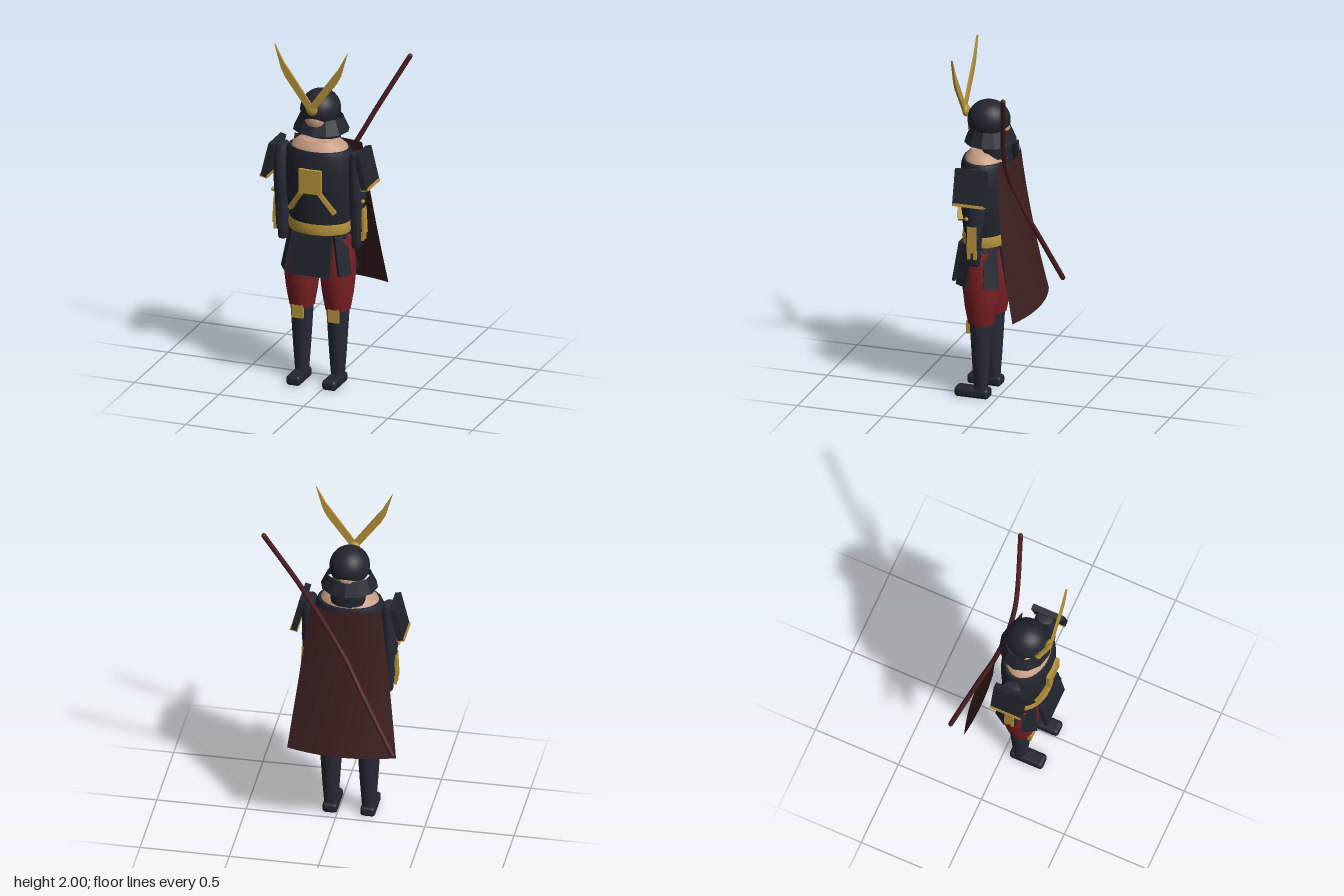
import * as THREE from 'three';
import { toCreasedNormals } from 'three/addons/utils/BufferGeometryUtils.js';
import { RoundedBoxGeometry } from 'three/addons/geometries/RoundedBoxGeometry.js';

const mat = (name, color, side = THREE.FrontSide) =>
  Object.assign(new THREE.MeshStandardMaterial({ color, side }), { name });

export function createModel() {
  const armour = mat('armour black', 0x22252e, THREE.DoubleSide);
  const cloth = mat('navy cloth', 0x272a37);
  const gold = mat('gold', 0xb8933a);
  const skin = mat('skin', 0xc79c82);
  const red = mat('red trousers', 0x7a2024);
  const capeRed = mat('cape maroon', 0x3d1f20, THREE.DoubleSide);
  const wood = mat('bow wood', 0x4c1f22);

  const model = new THREE.Group();
  const body = new THREE.Group();
  body.name = 'warrior';
  body.position.set(-0.065, 0, 0.09);
  model.add(body);

  const add = (parent, name, geo, material, x = 0, y = 0, z = 0) => {
    const m = new THREE.Mesh(geo, material);
    m.name = name;
    m.position.set(x, y, z);
    parent.add(m);
    return m;
  };
  const box = (w, h, d) => new THREE.BoxGeometry(w, h, d);
  // Lathe of [radius, height] pairs, listed bottom to top, squashed in z
  const turned = (points, depth = 1, sides = 28) => {
    const g = new THREE.LatheGeometry(points.map(p => new THREE.Vector2(...p)), sides);
    g.scale(1, 1, depth);
    return toCreasedNormals(g, 0.7);
  };

  // Torso, belt and bare shoulders
  add(body, 'torso', turned([[0, 0.88], [0.165, 0.88], [0.172, 0.95], [0.19, 1.08], [0.197, 1.25],
    [0.19, 1.36], [0.178, 1.385], [0, 1.385]], 0.72), armour);
  add(body, 'belt', turned([[0.16, 0.9], [0.176, 0.9], [0.182, 0.93], [0.176, 0.962], [0.16, 0.962]], 0.73), gold);
  add(body, 'shoulders', turned([[0.165, 1.38], [0.155, 1.4], [0.115, 1.43], [0, 1.432]], 0.72), skin);
  add(body, 'neckGuard', turned([[0.098, 1.4], [0.098, 1.52], [0, 1.52]], 0.8), armour, 0, 0, -0.055);

  // Chest ornament with two hanging cords
  add(body, 'chestPlate', box(0.132, 0.14, 0.02), gold, 0, 1.22, 0.146);
  for (const s of [-1, 1]) {
    const cord = add(body, 'chestCord', box(0.024, 0.14, 0.03), gold, s * 0.092, 1.095, 0.125);
    cord.rotation.set(0, s * 0.35, s * 0.62);
  }

  // Head and helmet
  const head = add(body, 'head', new THREE.SphereGeometry(0.1, 24, 18), skin, 0, 1.555, -0.01);
  head.scale.set(0.9, 1, 1.2);
  const dome = add(body, 'helmetDome',
    new THREE.SphereGeometry(0.112, 32, 20, 0, Math.PI * 2, 0, 2.0), armour, 0, 1.6, -0.01);
  dome.scale.z = 1.07;
  const brim = add(body, 'helmetSkirt',
    new THREE.CylinderGeometry(0.122, 0.16, 0.082, 12, 1, true).toNonIndexed(), armour, 0, 1.52, -0.018);
  brim.geometry.computeVertexNormals();
  brim.scale.z = 0.9;
  add(body, 'crestKnob', new THREE.SphereGeometry(0.034, 20, 14), gold, 0, 1.635, 0.122).scale.z = 0.6;

  // Crest horns
  const hornShape = new THREE.Shape([[-0.01, 0.025], [0.125, 0.215], [0.16, 0.262], [0.215, 0.365],
    [0.176, 0.225], [0.15, 0.175], [0.02, 0]].map(p => new THREE.Vector2(...p)).reverse());
  const hornGeo = new THREE.ExtrudeGeometry(hornShape, { depth: 0.012, bevelEnabled: false });
  for (const s of [-1, 1])
    add(body, 'crestHorn', hornGeo, gold, 0, 1.635, 0.127).scale.x = s;

  for (const s of [-1, 1]) {
    // Arms
    const arm = new THREE.Group();
    arm.name = s > 0 ? 'leftArm' : 'rightArm';
    arm.position.x = s * 0.222;
    body.add(arm);
    add(arm, 'upperArm', turned([[0, 1.06], [0.04, 1.06], [0.046, 1.1], [0.047, 1.32], [0.035, 1.37], [0, 1.38]], 1.3), cloth);
    add(arm, 'forearm', turned([[0, 0.87], [0.033, 0.87], [0.044, 1.09], [0, 1.1]], 1.15), cloth);
    add(arm, 'hand', new RoundedBoxGeometry(0.05, 0.075, 0.06, 3, 0.018), armour, -s * 0.005, 0.847, 0);
    const guard = add(arm, 'forearmPlate', box(0.014, 0.15, 0.052), gold, s * 0.04, 0.98, 0);
    guard.rotation.z = s * 0.05;
    for (const k of [-1, 1])
      add(arm, 'forearmPlateTab', box(0.014, 0.05, 0.016), gold, s * 0.037, 0.89, k * 0.018);
    add(arm, 'elbowStud', new THREE.SphereGeometry(0.012, 10, 8), gold, s * 0.043, 1.1, 0.03);

    // Hanging shoulder plate
    const pauldron = new THREE.Group();
    pauldron.name = 'shoulderPlate';
    pauldron.position.set(s * 0.275, 1.29, 0.003);
    pauldron.rotation.z = s * 0.24;
    body.add(pauldron);
    add(pauldron, 'plate', box(0.034, 0.2, 0.186), armour);
    add(pauldron, 'plateRim', box(0.044, 0.016, 0.18), gold, 0, -0.1, 0);

    // Legs
    const leg = new THREE.Group();
    leg.name = s > 0 ? 'leftLeg' : 'rightLeg';
    leg.position.x = s * 0.106;
    body.add(leg);
    add(leg, 'trouser', turned([[0, 0.44], [0.07, 0.44], [0.088, 0.54], [0.1, 0.65], [0.094, 0.75],
      [0.08, 0.87], [0, 0.9]], 1.03), red);
    add(leg, 'shin', turned([[0, 0.04], [0.038, 0.04], [0.05, 0.2], [0.065, 0.445], [0, 0.45]], 0.97), cloth);
    add(leg, 'kneePlate', box(0.064, 0.075, 0.022), gold, 0, 0.415, 0.065);
    add(leg, 'foot', new RoundedBoxGeometry(0.084, 0.058, 0.198, 4, 0.02), armour, 0, 0.029, 0.046);
  }

  // Hip plates hanging below the belt: [angle, width, tilt]
  for (const [a, w, tilt] of [[0, 0.235, 0.17], [Math.PI, 0.235, 0.17],
    [1.02, 0.085, 0.2], [-1.02, 0.085, 0.2], [2.12, 0.085, 0.2], [-2.12, 0.085, 0.2]]) {
    const plate = add(body, 'hipPlate', box(w, 0.235, 0.018).translate(0, -0.117, 0), armour,
      Math.sin(a) * 0.165, 0.9, Math.cos(a) * 0.118);
    plate.rotation.set(-tilt, a, 0, 'YXZ');
  }

  // Cape: a flared sheet with its sides curving forward
  const capeGeo = new THREE.PlaneGeometry(2, 1, 16, 12);
  const p = capeGeo.attributes.position;
  for (let i = 0; i < p.count; i++) {
    const u = p.getX(i), t = 0.5 - p.getY(i);
    p.setXYZ(i, -0.065 + u * (0.2 + 0.105 * t), 1.385 - 0.855 * t,
      -0.068 - 0.085 * t - 0.06 * t * t + 0.034 * (1 + 0.5 * t) * u * u);
  }
  capeGeo.computeVertexNormals();
  add(model, 'cape', capeGeo, capeRed);

  // Bow slung across the back
  const bowPath = new THREE.CatmullRomCurve3([[-0.365, 0.6, -0.245], [-0.18, 0.92, -0.158], [-0.08, 1.1, -0.105],
    [0.02, 1.26, -0.078], [0.12, 1.43, -0.075], [0.19, 1.56, -0.09], [0.372, 1.885, -0.153]]
    .map(q => new THREE.Vector3(...q)));
  add(model, 'bow', new THREE.TubeGeometry(bowPath, 40, 0.014, 10), wood);
  for (const t of [0, 1])
    add(model, 'bowTip', new THREE.SphereGeometry(0.014, 10, 8), wood, ...bowPath.getPoint(t).toArray());

  return model;
}
